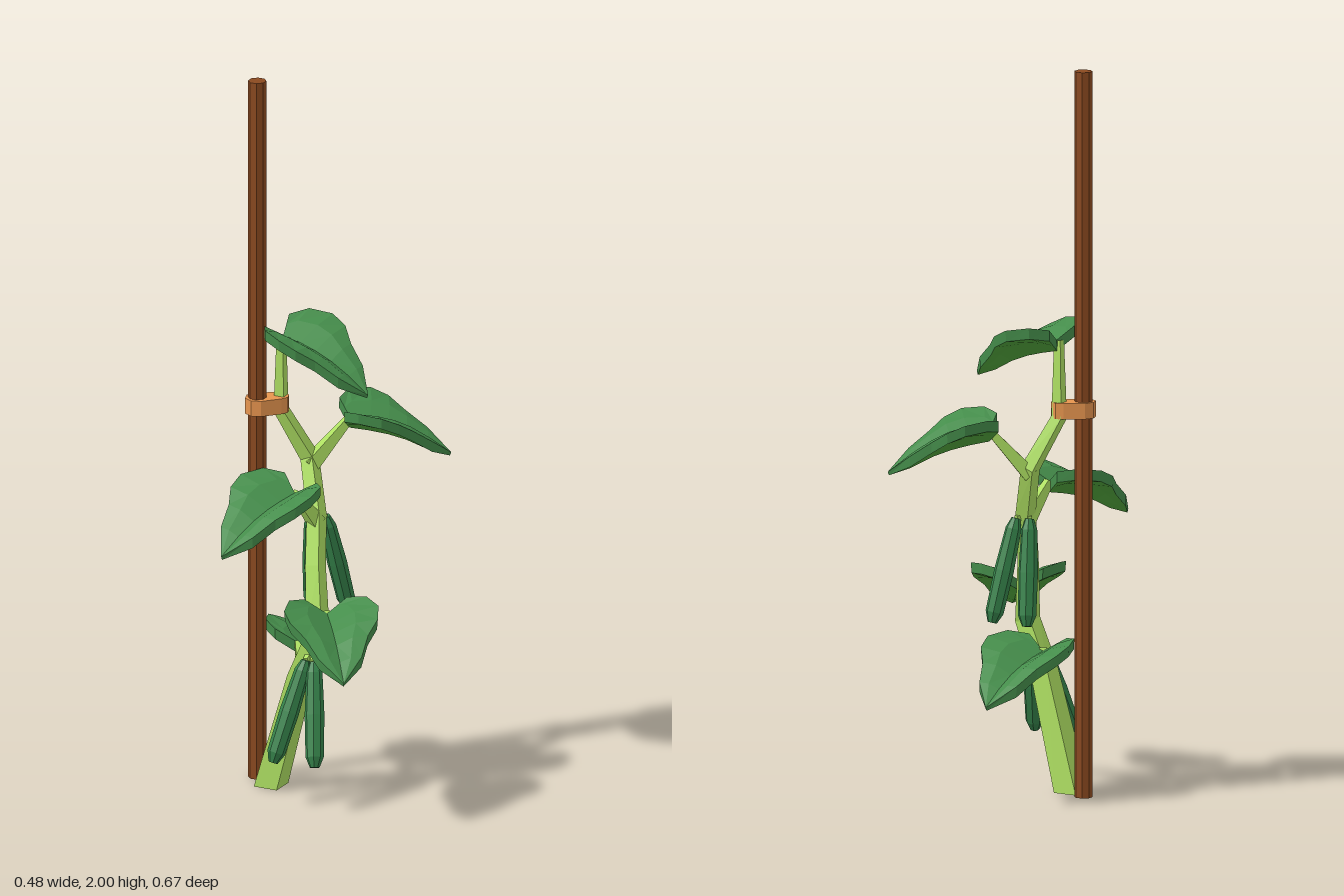
import * as THREE from 'three';

const V = (a) => new THREE.Vector3(...a);
const mat = (name, color) => {
  const m = new THREE.MeshStandardMaterial({ color, flatShading: true });
  m.name = name;
  return m;
};

// Faceted geometry from points and two lists of triangles (one per material group)
function faceted(points, first, second = []) {
  const g = new THREE.BufferGeometry().setFromPoints([...first, ...second].map((i) => points[i]));
  g.addGroup(0, first.length, 0);
  if (second.length) g.addGroup(first.length, second.length, 1);
  g.computeVertexNormals();
  return g;
}

// Closed tapering limb: a ring of vertices around every path point, squared up to an axis
function limb(path, radii, sides, axis = [0, 0, 1]) {
  const p = path.map(V), pts = [], tri = [];
  p.forEach((c, i) => {
    const t = p[Math.min(i + 1, p.length - 1)].clone().sub(p[Math.max(i - 1, 0)]).normalize();
    if (i === 0 && c.y === 0) t.set(0, 1, 0); // flat foot on the ground
    const a = V(axis).cross(t).normalize();
    const b = t.clone().cross(a);
    for (let k = 0; k < sides; k++) {
      const w = ((k + 0.5) / sides) * Math.PI * 2;
      pts.push(c.clone().addScaledVector(a, Math.cos(w) * radii[i]).addScaledVector(b, Math.sin(w) * radii[i]));
    }
  });
  for (let i = 0; i < p.length - 1; i++) {
    for (let k = 0; k < sides; k++) {
      const n = (k + 1) % sides, r = i * sides, s = r + sides;
      tri.push(r + k, r + n, s + n, r + k, s + n, s + k);
    }
  }
  const last = (p.length - 1) * sides;
  for (let k = 1; k < sides - 1; k++) tri.push(0, k + 1, k, last, last + k, last + k + 1);
  return faceted(pts, tri);
}

// Heart-shaped leaf, folded along its midrib, running along +z
const RIB = [0, 0.008, 0.055, 0.105, 0.16, 0.225, 0.3];
const EDGE = [[-0.035, 0.06], [-0.008, 0.108], [0.052, 0.132], [0.105, 0.122], [0.155, 0.088], [0.225, 0.06], [0.3, 0]];
function leafGeometry() {
  const cols = 5, rows = RIB.length, top = [], under = [];
  for (let i = 0; i < rows; i++) {
    for (let j = 0; j < cols; j++) {
      const t = j / 2 - 1, s = Math.abs(t);
      const z = RIB[i] + (EDGE[i][0] - RIB[i]) * s;
      const x = EDGE[i][1] * t;
      const bulge = s === 0.5 ? 0.012 * Math.sin((Math.PI * i) / (rows - 1)) : 0;
      const fold = 0.44 - 0.9 * Math.max(z, 0);
      const y = fold * Math.abs(x) + 0.02 * Math.sin((Math.PI * Math.max(z, 0)) / 0.3) + bulge;
      const tip = i === rows - 1;
      top.push(new THREE.Vector3(x, y, z));
      under.push(new THREE.Vector3(x * 0.98, y - (tip ? 0.01 : 0.028), tip ? z : z + 0.011));
    }
  }
  const n = top.length, upper = [], lower = [], rim = [];
  for (let i = 0; i < rows - 1; i++) {
    for (let j = 0; j < cols - 1; j++) {
      const a = i * cols + j, b = a + cols, c = b + 1, d = a + 1;
      const tris = i === rows - 2 ? [a, b, d] : j < 2 ? [a, b, d, b, c, d] : [a, b, c, a, c, d];
      upper.push(...tris);
      for (let k = 0; k < tris.length; k += 3) lower.push(n + tris[k], n + tris[k + 2], n + tris[k + 1]);
    }
  }
  for (let i = 0; i < rows; i++) rim.push(i * cols);
  for (let i = rows - 2; i >= 0; i--) rim.push(i * cols + cols - 1);
  for (let j = cols - 2; j > 0; j--) rim.push(j);
  rim.forEach((p, k) => {
    const q = rim[(k + 1) % rim.length];
    upper.push(q, p, n + p, q, n + p, n + q);
  });
  return faceted([...top, ...under], upper, lower);
}

export function createModel() {
  const model = new THREE.Group();
  model.name = 'stakedPlant';
  const wood = mat('stakeWood', 0x8b4a20);
  const twine = mat('tieOrange', 0xe8964f);
  const stemGreen = mat('stemGreen', 0xaee062);
  const leafGreen = mat('leafGreen', 0x458d4b);
  const leafUnder = mat('leafUnderside', 0x50a33b);
  const podGreen = mat('podGreen', 0x35824a);
  const add = (name, geometry, material) => {
    const m = new THREE.Mesh(geometry, material);
    m.name = name;
    model.add(m);
    return m;
  };

  // Stake
  const stake = add('stake', new THREE.CylinderGeometry(0.025, 0.025, 2, 8), wood);
  stake.position.set(-0.213, 1, 0.005);
  stake.rotation.y = Math.PI / 8;

  // Tie: a band wrapped round the stake and the stem
  const turn = Math.atan2(0.04, 0.046), outline = [];
  [[-0.211, -0.005, 0.036, 0.5], [-0.167, 0.033, 0.029, -0.5]].forEach(([x, y, r, start]) => {
    for (let k = 0; k <= 4; k++) {
      const a = turn + (start + k / 4) * Math.PI;
      outline.push(new THREE.Vector2(x + Math.cos(a) * r, y + Math.sin(a) * r));
    }
  });
  const tie = add('tie', new THREE.ExtrudeGeometry(new THREE.Shape(outline), { depth: 0.044, bevelEnabled: false }), twine);
  tie.rotation.x = -Math.PI / 2;
  tie.position.y = 1.047;

  // Main stem, four-sided
  add('stem', limb(
    [[-0.15, 0, 0.045], [-0.055, 0.33, 0.055], [0, 0.46, 0.06], [-0.03, 0.64, 0.015], [-0.05, 0.77, -0.03],
      [-0.1, 0.91, -0.085], [-0.165, 1.05, -0.042], [-0.16, 1.26, -0.035]],
    [0.049, 0.039, 0.035, 0.029, 0.028, 0.027, 0.022, 0.014], 4), stemGreen);

  // Leaves with their stalks: stalk start (if any), leaf base, leaf tip
  const leafShape = leafGeometry();
  [
    [[-0.005, 0.43, 0.06], [0.06, 0.55, 0.12], [0.225, 0.445, 0.34]],
    [[-0.048, 0.75, -0.025], [-0.078, 0.85, 0.045], [-0.162, 0.738, 0.315]],
    [null, [-0.16, 1.262, -0.047], [0.114, 1.143, -0.017]],
    [[-0.095, 0.89, -0.08], [-0.013, 1.015, -0.155], [0.215, 0.903, -0.31]],
    [[-0.045, 0.345, 0.055], [-0.1, 0.395, -0.02], [-0.092, 0.283, -0.3]],
  ].forEach(([start, base, tip], i) => {
    if (start) add('leafStalk' + (i + 1), limb([start, base], [0.028, 0.014], 4, [0, 1, 0]), stemGreen);
    const along = V(tip).sub(V(base));
    const leaf = add('leaf' + (i + 1), leafShape, [leafGreen, leafUnder]);
    leaf.scale.setScalar(along.length() / 0.3);
    along.normalize();
    const side = new THREE.Vector3(0, 1, 0).cross(along).normalize();
    leaf.quaternion.setFromRotationMatrix(new THREE.Matrix4().makeBasis(side, along.clone().cross(side), along));
    leaf.position.set(...base);
  });

  // Hanging pods in two pairs: stem joint, pod top, pod bottom
  [
    [[-0.02, 0.41, 0.06], [-0.018, 0.395, 0.095], [-0.066, 0.125, 0.195]],
    [[-0.01, 0.41, 0.06], [0.008, 0.395, 0.095], [0.06, 0.13, 0.193]],
    [[-0.048, 0.76, -0.02], [-0.072, 0.76, -0.045], [-0.1, 0.475, -0.103]],
    [[-0.048, 0.76, -0.02], [-0.035, 0.76, -0.055], [-0.003, 0.48, -0.125]],
  ].forEach(([joint, top, end], i) => {
    add('podStalk' + (i + 1), limb([joint, top], [0.012, 0.009], 4), stemGreen);
    const path = [0, 0.1, 0.5, 0.9, 1].map((t) => V(top).lerp(V(end), t).toArray());
    add('pod' + (i + 1), limb(path, [0.012, 0.022, 0.027, 0.025, 0.013], 8), podGreen);
  });

  return model;
}
